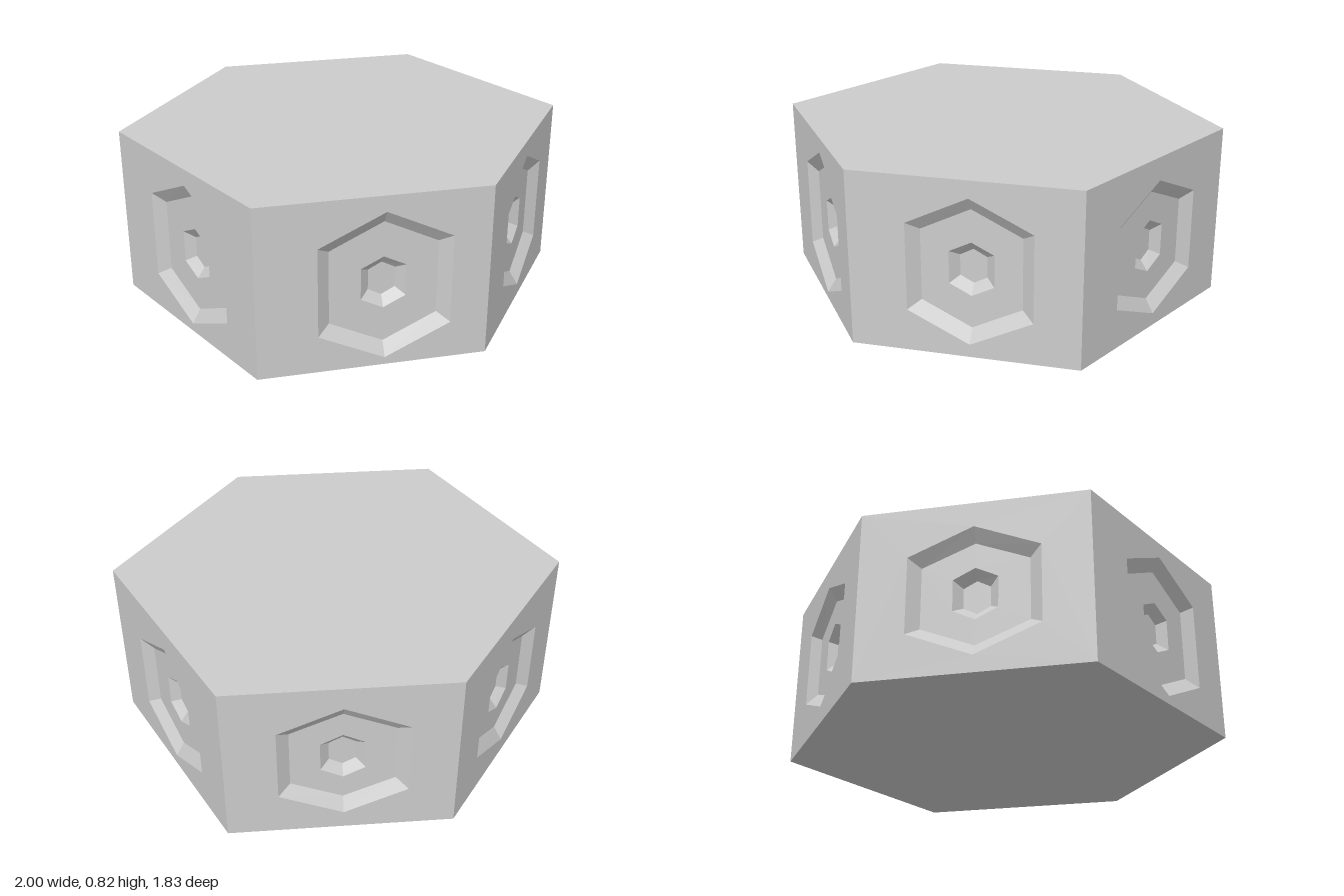
import * as THREE from 'three';

const HEIGHT = 0.82;
// Plan corners [x, z], walked rightwards as seen from outside, starting with the front side
const CORNERS = [[-0.53, 0.915], [0.53, 0.915], [1, 0], [0.53, -0.915], [-0.53, -0.915], [-1, 0]];
// Recess of each side: offset along the side, centre height, half width, half height
const SIDES = [
  ['front', 0.025, 0.39, 0.29, 0.35],
  ['frontLeft', 0.05, 0.39, 0.295, 0.355],
  ['backLeft', 0.025, 0.4, 0.28, 0.34],
  ['back', 0.01, 0.385, 0.29, 0.325],
  ['backRight', 0.01, 0.4, 0.29, 0.31],
  ['frontRight', 0, 0.39, 0.295, 0.31],
];

// Upright hexagon, counter-clockwise from the lower right corner
function hexagon(cx, cy, halfWidth, halfHeight) {
  const s = halfHeight * 0.6;
  return [[halfWidth, -s], [halfWidth, s], [0, halfHeight], [-halfWidth, s], [-halfWidth, -s], [0, -halfHeight]]
    .map(([x, y]) => new THREE.Vector2(cx + x, cy + y));
}

// Steps inward through hexagonal rings and closes the last one with a floor
function steppedRecess(cx, cy, levels) {
  const rings = levels.map(([w, h, depth]) =>
    hexagon(cx, cy, w, h).map((p) => new THREE.Vector3(p.x, p.y, -depth)));
  const points = [];
  for (let k = 0; k < rings.length - 1; k++) {
    for (let i = 0; i < 6; i++) {
      const j = (i + 1) % 6;
      const a = rings[k][i], b = rings[k][j], c = rings[k + 1][j], d = rings[k + 1][i];
      points.push(a, b, c, a, c, d);
    }
  }
  const floor = rings[rings.length - 1];
  for (let i = 1; i < 5; i++) points.push(floor[0], floor[i], floor[i + 1]);
  const geometry = new THREE.BufferGeometry().setFromPoints(points);
  geometry.computeVertexNormals();
  return geometry;
}

export function createModel() {
  const model = new THREE.Group();
  model.name = 'hexagonalBlock';
  const material = new THREE.MeshStandardMaterial({ color: 0xcccccc, flatShading: true });

  const add = (parent, name, geometry) => {
    const mesh = new THREE.Mesh(geometry, material);
    mesh.name = name;
    parent.add(mesh);
    return mesh;
  };

  // Top and bottom plates
  const plan = new THREE.ShapeGeometry(new THREE.Shape(CORNERS.map(([x, z]) => new THREE.Vector2(x, -z))));
  const top = add(model, 'topPlate', plan);
  top.rotation.x = -Math.PI / 2;
  top.position.y = HEIGHT;
  const bottom = add(model, 'bottomPlate', plan);
  bottom.rotation.x = Math.PI / 2;

  // Six side walls, each with a hexagonal hole and a two-step recess
  SIDES.forEach(([name, cx, cy, w, h], i) => {
    const [x0, z0] = CORNERS[i];
    const [x1, z1] = CORNERS[(i + 1) % 6];
    const half = Math.hypot(x1 - x0, z1 - z0) / 2;

    const side = new THREE.Group();
    side.name = name + 'Side';
    side.position.set((x0 + x1) / 2, 0, (z0 + z1) / 2);
    side.rotation.y = Math.atan2(z0 - z1, x1 - x0);
    model.add(side);

    const wall = new THREE.Shape([[-half, 0], [half, 0], [half, HEIGHT], [-half, HEIGHT]]
      .map(([x, y]) => new THREE.Vector2(x, y)));
    wall.holes.push(new THREE.Path(hexagon(cx, cy, w, h)));
    add(side, name + 'Wall', new THREE.ShapeGeometry(wall));

    add(side, name + 'Recess', steppedRecess(cx, cy, [
      [w, h, 0],
      [w - 0.055, h - 0.063, 0.042],
      [0.1, 0.125, 0.042],
      [0.06, 0.08, 0.08],
    ]));
  });
  return model;
}
